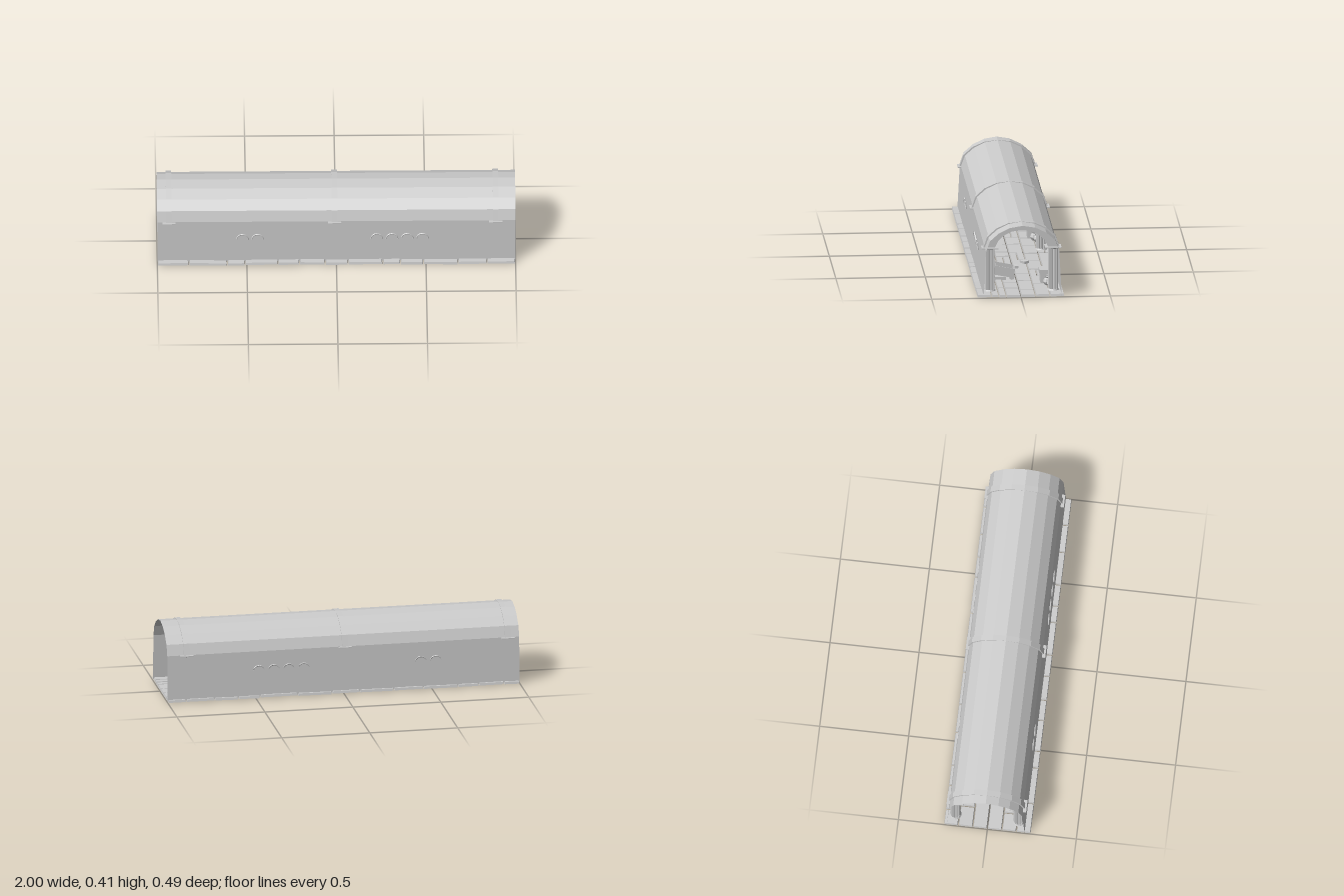
import * as THREE from 'three';

const grey = new THREE.MeshStandardMaterial({ color: 0xcccccc, flatShading: true, side: THREE.DoubleSide });
const MID = -0.009; // z of the hall's centre line

let seed = 11;
const rand = () => (seed = (seed * 16807) % 2147483647) / 2147483647;

function add(parent, name, geo, x = 0, y = 0, z = 0, rx = 0, ry = 0, rz = 0) {
  const m = new THREE.Mesh(geo, grey);
  m.name = name;
  m.position.set(x, y, z);
  m.rotation.set(rx, ry, rz);
  parent.add(m);
  return m;
}

// Mirrors a half profile [half width, height] (listed from base to crown) into a full one
const full = (half) => [...half, ...half.slice(0, -1).reverse().map(([w, y]) => [-w, y])];

// Thin vaulted shell: two leaning walls and a faceted roof
function vault() {
  const p = full([[0.219, 0.01], [0.205, 0.27], [0.183, 0.33], [0.133, 0.374], [0.071, 0.404], [0, 0.416]]);
  const pos = [];
  for (let i = 0; i < p.length - 1; i++) {
    const [a, b] = [p[i], p[i + 1]];
    const v = [[-1, a], [1, a], [1, b], [-1, a], [1, b], [-1, b]];
    for (const [x, q] of v) pos.push(x, q[1], MID + q[0]);
  }
  const g = new THREE.BufferGeometry();
  g.setAttribute('position', new THREE.Float32BufferAttribute(pos, 3));
  g.computeVertexNormals();
  return g;
}

// Solid arch rib extruded along x
function archRib() {
  const outer = full([[0.213, 0.27], [0.191, 0.333], [0.14, 0.379], [0.074, 0.408], [0, 0.417]]);
  const inner = full([[0.148, 0.27], [0.13, 0.307], [0.097, 0.338], [0.053, 0.36], [0, 0.366]]);
  const s = new THREE.Shape([...outer, ...inner.reverse()].map(([w, y]) => new THREE.Vector2(w, y)));
  const g = new THREE.ExtrudeGeometry(s, { depth: 0.032, bevelEnabled: false });
  g.translate(0, 0, -0.016);
  g.rotateY(Math.PI / 2);
  return g;
}

// Fluted shaft
function shaft() {
  const pts = [];
  const n = 48;
  for (let i = 0; i < n; i++) {
    const a = (i / n) * Math.PI * 2;
    const r = i % 3 === 0 ? 0.0235 : 0.028;
    pts.push(new THREE.Vector2(r * Math.cos(a), r * Math.sin(a)));
  }
  const g = new THREE.ExtrudeGeometry(new THREE.Shape(pts), { depth: 0.232, bevelEnabled: false });
  g.rotateX(-Math.PI / 2);
  return g;
}

function column(x, z) {
  const c = new THREE.Group();
  c.name = 'column';
  add(c, 'columnBase', new THREE.CylinderGeometry(0.029, 0.034, 0.01, 16), 0, 0.022, 0);
  add(c, 'columnShaft', shaft(), 0, 0.027, 0);
  add(c, 'columnNeck', new THREE.CylinderGeometry(0.033, 0.029, 0.007, 16), 0, 0.262, 0);
  add(c, 'capitalPlate', new THREE.BoxGeometry(0.074, 0.005, 0.093), 0, 0.267, 0);
  c.position.set(x, 0, z);
  return c;
}

// Paving slab with a bevelled upper edge
function slab(w, h, d) {
  const g = new THREE.BoxGeometry(w, h, d);
  const p = g.attributes.position;
  for (let i = 0; i < p.count; i++) {
    if (p.getY(i) > 0) {
      p.setX(i, p.getX(i) * (1 - 0.006 / w));
      p.setZ(i, p.getZ(i) * (1 - 0.006 / d));
    }
  }
  return g;
}

function floor() {
  const f = new THREE.Group();
  f.name = 'floor';
  const rows = 6, d = 0.49 / rows;
  for (let r = 0; r < rows; r++) {
    const z = -0.245 + d * (r + 0.5);
    let x = -1;
    while (x < 0.999) {
      let len = 0.09 + 0.13 * rand();
      if (1 - x - len < 0.08) len = 1 - x;
      const split = rand() < 0.25 && len > 0.12; // some slabs are two narrow strips
      for (const s of split ? [-1, 1] : [0]) {
        const depth = (split ? d / 2 : d) - 0.005;
        add(f, 'floorSlab', slab(len - 0.006, 0.013, depth), x + len / 2, 0.0105 + 0.004 * rand(),
          z + s * d / 4, (rand() - 0.5) * 0.05, 0, (rand() - 0.5) * 0.03);
      }
      x += len;
    }
  }
  return f;
}

// Round shield with raised rim and boss, leaning with the wall
function shield(x, side) {
  const s = new THREE.Group();
  s.name = 'wallShield';
  add(s, 'shieldDisc', new THREE.CylinderGeometry(0.03, 0.03, 0.006, 14), 0, 0, -0.008, Math.PI / 2);
  add(s, 'shieldRim', new THREE.TorusGeometry(0.032, 0.004, 5, 10, Math.PI), 0, 0, 0.002);
  add(s, 'shieldBoss', new THREE.SphereGeometry(0.01, 8, 6), 0, 0, -0.012);
  s.position.set(x, 0.155, MID + side * (side > 0 ? 0.2125 : 0.205));
  s.rotation.set(-side * 0.06, side > 0 ? 0 : Math.PI, 0);
  if (side < 0) s.rotation.x = -0.06;
  return s;
}

// Open wooden crate made of five boards
function crate(w, h, d) {
  const c = new THREE.Group();
  c.name = 'crate';
  const t = 0.005;
  add(c, 'crateBottom', new THREE.BoxGeometry(w, t, d), 0, t / 2, 0);
  for (const s of [-1, 1]) {
    add(c, 'crateSide', new THREE.BoxGeometry(w, h, t), 0, h / 2, s * (d - t) / 2);
    add(c, 'crateEnd', new THREE.BoxGeometry(t, h, d), s * (w - t) / 2, h / 2, 0);
  }
  return c;
}

function pot(x, y, z, s = 1) {
  const prof = [[0, 0], [0.012, 0], [0.022, 0.018], [0.017, 0.034], [0.009, 0.04], [0.012, 0.048]];
  const g = new THREE.LatheGeometry(prof.map(([r, h]) => new THREE.Vector2(r * s, h * s)), 10);
  const m = new THREE.Mesh(g, grey);
  m.name = 'pot';
  m.position.set(x, y, z);
  return m;
}

export function createModel() {
  const hall = new THREE.Group();
  hall.name = 'vaultedHall';
  hall.add(floor());
  add(hall, 'vaultShell', vault());

  // Ribs on paired columns
  for (const x of [-0.935, -0.01, 0.89]) {
    add(hall, 'archRib', archRib(), x, 0, MID);
    hall.add(column(x, 0.168), column(x, -0.186));
  }

  // Shields on both walls
  for (const x of [-0.525, -0.44, 0.225, 0.31, 0.395, 0.48]) {
    hall.add(shield(x, 1), shield(x, -1));
  }

  // Stores along the front wall
  const tilted = crate(0.1, 0.052, 0.115);
  tilted.position.set(0.62, 0.042, 0.075);
  tilted.rotation.x = -0.2;
  hall.add(tilted);
  add(hall, 'crateSupport', new THREE.BoxGeometry(0.08, 0.018, 0.06), 0.62, 0.027, 0.09);
  add(hall, 'roller', new THREE.CylinderGeometry(0.015, 0.015, 0.09, 12), 0.62, 0.034, 0.027, 0, 0, Math.PI / 2);
  const stack = crate(0.09, 0.065, 0.06);
  stack.position.set(0.5, 0.02, 0.155);
  hall.add(stack, pot(0.5, 0.083, 0.15));

  // Stores along the back wall
  for (const x of [0.7, -0.3]) {
    add(hall, 'chest', new THREE.BoxGeometry(0.09, 0.05, 0.075), x, 0.043, -0.165);
    add(hall, 'chestLid', new THREE.BoxGeometry(0.096, 0.024, 0.085), x, 0.081, -0.165);
    hall.add(pot(x + 0.09, 0.02, -0.16), pot(x + 0.13, 0.02, -0.175, 0.9), pot(x + 0.1, 0.02, -0.2, 0.8));
  }

  // Loose blocks on the floor
  for (const [x, z, a] of [[0.4, -0.01, 0.1], [0.3, -0.07, 0.5], [-0.6, 0.02, 0.8]]) {
    add(hall, 'looseBlock', new THREE.BoxGeometry(0.05, 0.014, 0.03), x, 0.028, z, 0.1, a);
  }
  return hall;
}
